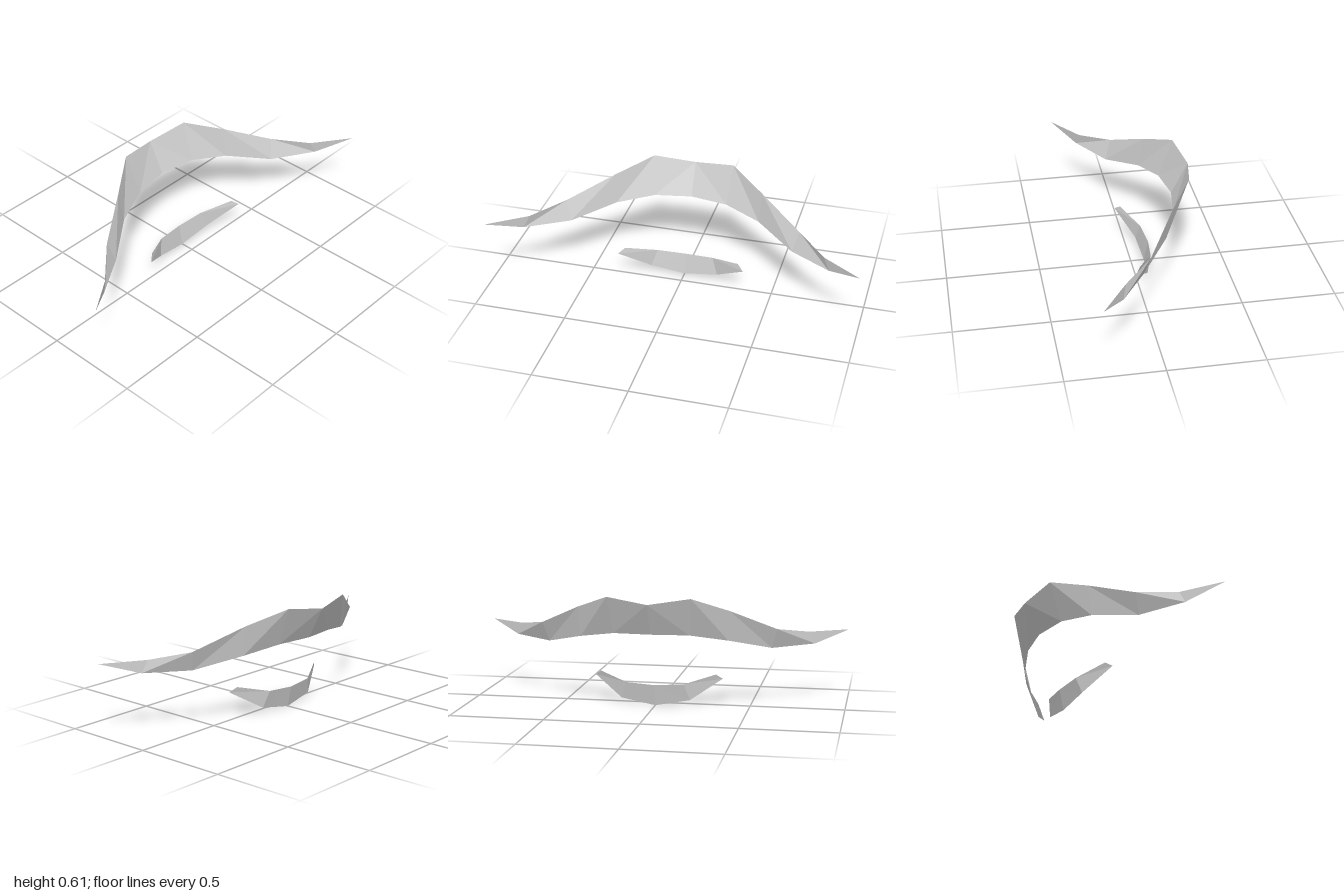
import * as THREE from 'three';

const material = new THREE.MeshStandardMaterial({ color: 0xcccccc, flatShading: true, side: THREE.DoubleSide });

// Thin curved band, symmetric in z. Each section joins an upper and a lower
// edge point, listed from the middle outwards.
function band(name, sections) {
  const positions = [];
  const tri = (a, b, c) => positions.push(...a, ...b, ...c);
  for (const side of [1, -1]) {
    const pts = sections.map(s => s.map(([x, y, z]) => [x, y, z * side]));
    for (let i = 0; i < pts.length - 1; i++) {
      const [t0, b0] = pts[i];
      const [t1, b1 = t1] = pts[i + 1];
      const tris = [[t0, b0, b1]];
      if (t1 !== b1) tris.push([t0, b1, t1]);
      for (const [a, b, c] of tris) side > 0 ? tri(a, b, c) : tri(a, c, b);
    }
  }
  const geometry = new THREE.BufferGeometry();
  geometry.setAttribute('position', new THREE.Float32BufferAttribute(positions, 3));
  geometry.computeVertexNormals();
  const mesh = new THREE.Mesh(geometry, material);
  mesh.name = name;
  return mesh;
}

export function createModel() {
  const group = new THREE.Group();
  group.name = 'facialHair';

  // Wide upper band tapering to a point at each end
  group.add(band('moustache', [
    [[-0.305, 0.575, 0], [-0.218, 0.407, 0]],
    [[-0.265, 0.606, 0.22], [-0.187, 0.404, 0.2]],
    [[-0.138, 0.53, 0.405], [-0.113, 0.37, 0.395]],
    [[0.01, 0.418, 0.637], [0.04, 0.311, 0.607]],
    [[0.165, 0.383, 0.795], [0.18, 0.317, 0.825]],
    [[0.304, 0.379, 1]],
  ]));

  // Short lower band with blunt, raised ends
  group.add(band('lowerLipBeard', [
    [[-0.095, 0.114, 0], [-0.072, 0, 0]],
    [[-0.08, 0.122, 0.155], [-0.058, 0.032, 0.185]],
    [[0.006, 0.163, 0.315], [0.032, 0.136, 0.348]],
  ]));
  return group;
}
